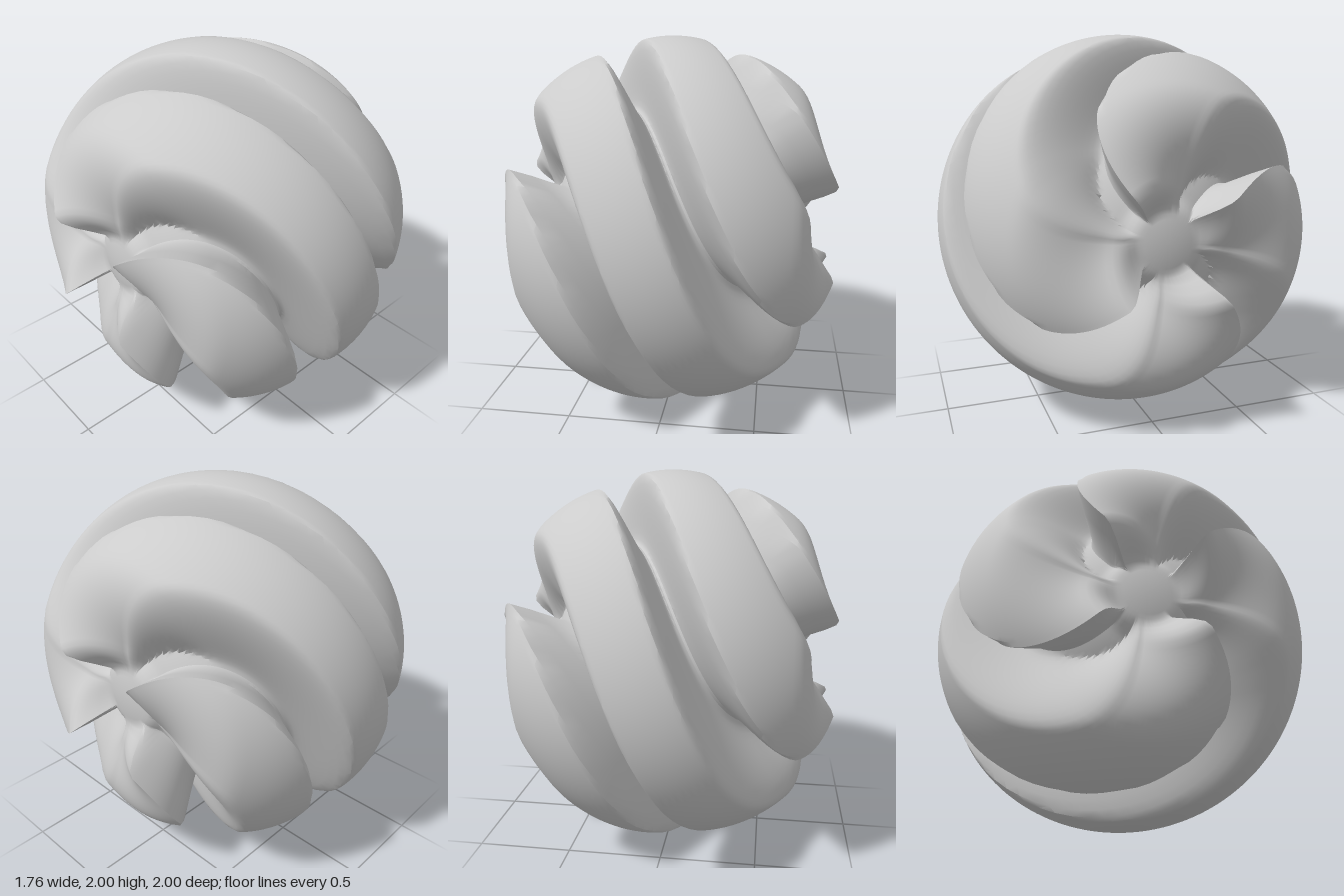
import * as THREE from 'three';
import { toCreasedNormals } from 'three/addons/utils/BufferGeometryUtils.js';

const RIDGES = 4, RINGS = 90, STEPS = 40; // steps across each ridge
const FLOOR = 0.65, HUB = 0.69;
const { smoothstep, lerp, clamp } = THREE.MathUtils;

// Turn of the ridges about the x axis, easing off towards both ends
const twist = (x) => 2.2 * (x - 0.27 * x ** 3);

// How lopsided a ridge is: 0 at the middle of the ball, 1 or -1 at its ends
const bias = (a) => clamp(Math.cos(a) / 0.7, -1, 1);

// Radius at polar angle a; w runs from -1 to 1 across one ridge
function radius(a, w) {
  const end = Math.min(a, Math.PI - a);
  // steep wall on the side towards the middle, gentle slope towards the end
  const shoulder = 0.55 - 0.3 * Math.sign(w) * bias(a);
  const drop = 0.03 * w * w + 0.32 * smoothstep(Math.abs(w), shoulder, 0.97);
  // near the ends one edge rises to a claw and the other sinks into the hub
  const across = Math.min(1, (Math.sign(bias(a)) * w + 1) / 1.2);
  const lean = 0.26 * (1 - smoothstep(end, 0.3, 0.85)) * across;
  const ridge = Math.max(1 - drop - lean, FLOOR);
  return lerp(HUB, ridge, smoothstep(end, 0.22, 0.38));
}

// Ball skin whose columns follow the spiralling ridges
function swirlGeometry() {
  const cols = RIDGES * STEPS, pos = [], index = [];
  for (let i = 0; i <= RINGS; i++) {
    const a = lerp(0.002, Math.PI - 0.002, i / RINGS);
    for (let j = 0; j < cols; j++) {
      const w = ((j % STEPS) / STEPS) * 2 - 1;
      const ridgeAngle = ((Math.floor(j / STEPS) + w / 2) * 2 * Math.PI) / RIDGES;
      const r = radius(a, w), rho = r * Math.sin(a);
      // ridge tops overhang their grooves a little
      const overhang = 0.1 * bias(a) * (r - FLOOR) / (1 - FLOOR);
      const t = ridgeAngle - twist(Math.cos(a)) - overhang;
      pos.push(r * Math.cos(a), 1 + rho * Math.sin(t), rho * Math.cos(t));
    }
  }
  for (let i = 0; i < RINGS; i++) {
    for (let j = 0; j < cols; j++) {
      const k = (j + 1) % cols;
      const p = i * cols + j, q = i * cols + k;
      index.push(p, q, p + cols, q, q + cols, p + cols);
    }
  }
  // close the tiny end holes
  const last = RINGS * cols;
  for (let j = 1; j < cols - 1; j++) {
    index.push(0, j + 1, j, last, last + j, last + j + 1);
  }
  const g = new THREE.BufferGeometry();
  g.setAttribute('position', new THREE.Float32BufferAttribute(pos, 3));
  g.setIndex(index);
  return toCreasedNormals(g, 0.7);
}

export function createModel() {
  const model = new THREE.Group();
  model.name = 'swirlBall';
  const body = new THREE.Mesh(
    swirlGeometry(),
    new THREE.MeshStandardMaterial({ color: 0xcccccc })
  );
  body.name = 'spiralRidgedBody';
  model.add(body);
  return model;
}
